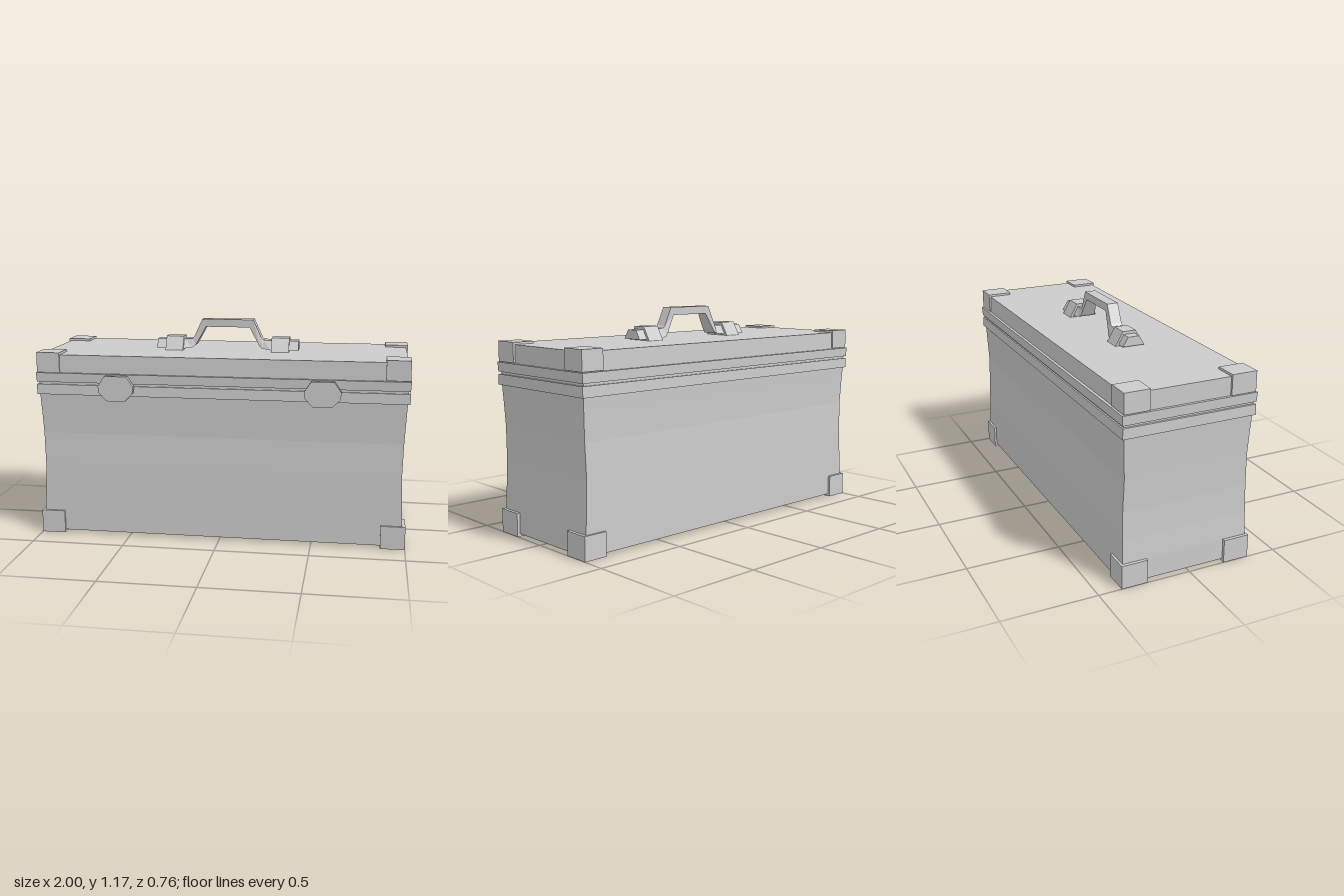
import * as THREE from 'three';

const material = new THREE.MeshStandardMaterial({ color: 0xcccccc, flatShading: true });
const ZC = -0.0175; // depth centre of the case

function add(parent, name, geometry) {
  const mesh = new THREE.Mesh(geometry, material);
  mesh.name = name;
  parent.add(mesh);
  return mesh;
}

// Box given by its limits on each axis
function box(parent, name, x0, x1, y0, y1, z0, z1) {
  const mesh = add(parent, name, new THREE.BoxGeometry(Math.abs(x1 - x0), y1 - y0, Math.abs(z1 - z0)));
  mesh.position.set((x0 + x1) / 2, (y0 + y1) / 2, (z0 + z1) / 2);
  return mesh;
}

// Skin over four-cornered rings, capped at both ends
function loft(rings) {
  const index = [];
  rings.slice(1).forEach((_, r) => {
    for (let i = 0; i < 4; i++) {
      const a = r * 4 + i, b = r * 4 + (i + 1) % 4;
      index.push(a, b, b + 4, a, b + 4, a + 4);
    }
  });
  const e = (rings.length - 1) * 4;
  index.push(0, 2, 1, 0, 3, 2, e, e + 1, e + 2, e, e + 2, e + 3);
  const indexed = new THREE.BufferGeometry();
  indexed.setAttribute('position', new THREE.Float32BufferAttribute(rings.flat(2), 3));
  indexed.setIndex(index);
  const geometry = indexed.toNonIndexed();
  geometry.computeVertexNormals();
  return geometry;
}

// Horizontal ring for the case: height, half width, half depth
const level = ([y, w, d]) => [[-w, y, ZC + d], [w, y, ZC + d], [w, y, ZC - d], [-w, y, ZC - d]];

// Upright ring for the handle: bottom x, y, half depth, then top x, y, half depth
const station = ([xb, yb, db, xt, yt, dt]) =>
  [[xb, yb, ZC + db], [xb, yb, ZC - db], [xt, yt, ZC - dt], [xt, yt, ZC + dt]];

export function createModel() {
  const group = new THREE.Group();

  // Case with slightly drawn-in walls
  add(group, 'body', loft([
    [0.015, 0.985, 0.348], [0.13, 0.983, 0.347], [0.25, 0.976, 0.346], [0.4, 0.971, 0.343],
    [0.57, 0.975, 0.338], [0.7, 0.981, 0.343], [0.8, 0.986, 0.348],
  ].map(level)));

  // Meeting rims, the recessed seam and the lid
  add(group, 'lowerRim', loft([[0.787, 0.998, 0.36], [0.842, 0.997, 0.358]].map(level)));
  add(group, 'seam', loft([[0.84, 0.985, 0.35], [0.857, 0.985, 0.35]].map(level)));
  add(group, 'upperRim', loft([[0.855, 0.997, 0.36], [0.905, 1, 0.362]].map(level)));
  add(group, 'lid', loft([[0.9, 0.985, 0.347], [1.002, 0.985, 0.344]].map(level)));

  // Corner guards, top and bottom
  for (const sx of [-1, 1]) for (const sz of [-1, 1]) {
    const inner = ZC + sz * 0.2175;
    box(group, 'bottomCorner', sx * 0.87, sx * 1, 0, 0.126, inner, ZC + sz * 0.359);
    box(group, 'topCorner', sx * 0.87, sx * 0.996, 0.908, 1.014, inner, ZC + sz * 0.354);
  }

  // Faceted latches on the front
  const plate = new THREE.Shape([
    [-0.06, 0.9], [-0.097, 0.845], [-0.092, 0.81], [-0.05, 0.766],
    [0.05, 0.766], [0.092, 0.81], [0.097, 0.845], [0.06, 0.9],
  ].map(([x, y]) => new THREE.Vector2(x, y)));
  for (const x of [-0.55, 0.55]) {
    const latch = new THREE.Group();
    latch.name = 'latch';
    latch.position.x = x;
    const geometry = new THREE.ExtrudeGeometry(plate, { depth: 0.026, bevelEnabled: false });
    add(latch, 'latchPlate', geometry).position.z = 0.354;
    box(latch, 'latchMount', -0.06, 0.06, 0.80, 0.885, 0.335, 0.356);
    group.add(latch);
  }

  // Carrying handle: one half as stations, then mirrored
  const half = [
    [0.395, 1.01, 0.062, 0.395, 1.06, 0.032],
    [0.24, 1.01, 0.06, 0.24, 1.06, 0.032],
    [0.195, 1.016, 0.05, 0.2, 1.062, 0.032],
    [0.178, 1.03, 0.042, 0.188, 1.075, 0.032],
    [0.122, 1.13, 0.031, 0.143, 1.172, 0.031],
  ];
  const mirrored = half.map(([xb, yb, db, xt, yt, dt]) => [-xb, yb, db, -xt, yt, dt]);
  add(group, 'handle', loft([...mirrored, ...half.slice().reverse()].map(station)));

  // Clamps holding the handle to the lid
  for (const s of [-1, 1]) {
    const x0 = s * 0.295 - 0.049, x1 = s * 0.295 + 0.049;
    add(group, 'handleClamp', loft([x0, x1].map((x) => station([x, 1, 0.081, x, 1.076, 0.037]))));
  }
  return group;
}
